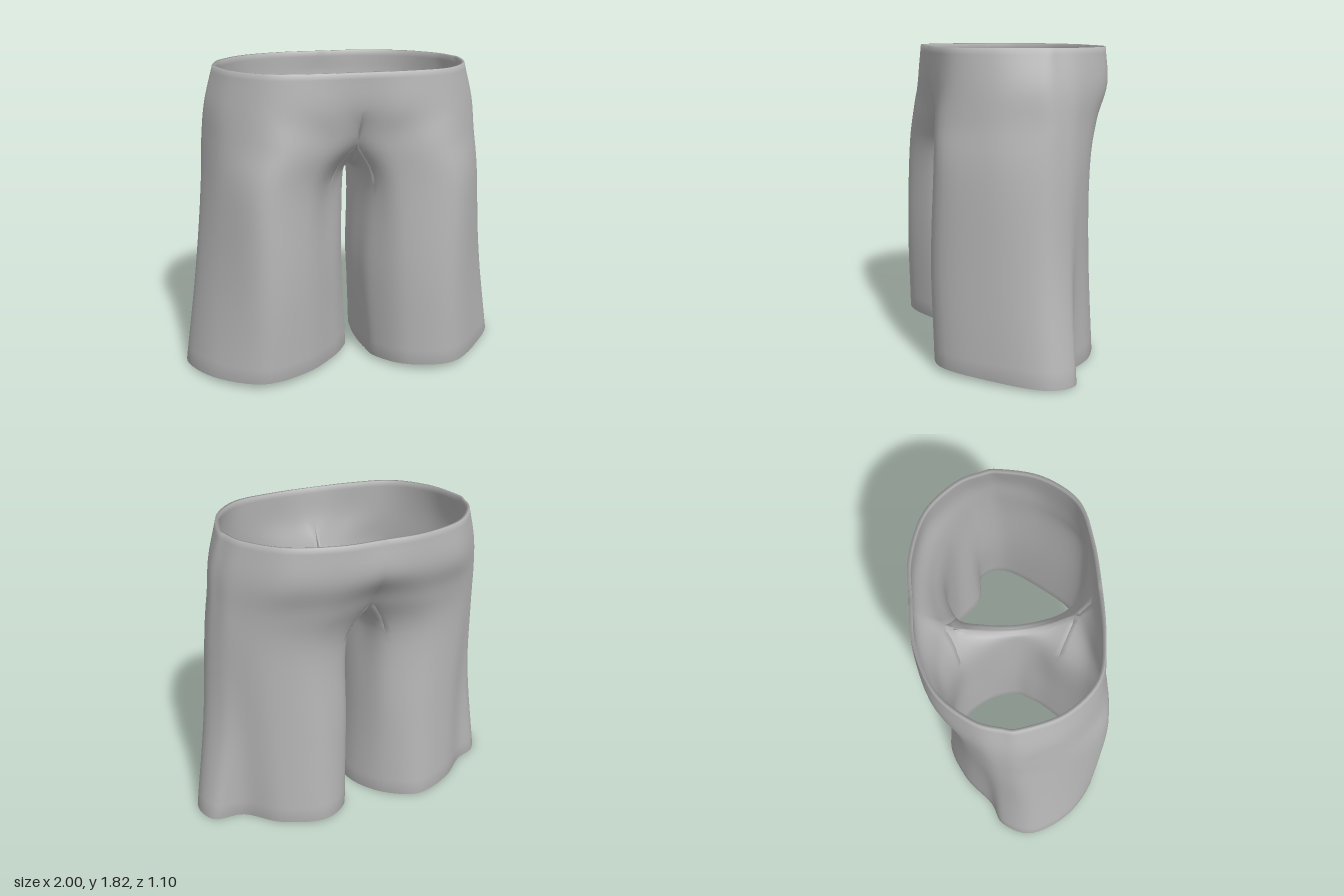
import * as THREE from 'three';
import { mergeVertices } from 'three/addons/utils/BufferGeometryUtils.js';

const SEG = 6;         // subdivisions between control points
const OUT = 9 * SEG;   // columns on the outer sheet (centre front, round the hip, to centre back)
const ALL = 13 * SEG;  // columns all the way round a leg
const CROTCH = 3;      // row where the two legs join
const THICK = 0.018;

// Half cross-sections as [x outwards, z]: centre front, hip, rear fold, centre back, then the inseam (legs only)
const leftLeg = [
  [0.03, [[.14, .33], [.3, .5], [.58, .535], [.85, .27], [1, .03], [.95, -.15], [.76, -.18], [.58, -.35], [.33, -.44], [.15, -.34], [.11, -.17], [.10, .02], [.11, .18]]],
  [0.60, [[.11, .33], [.27, .5], [.55, .55], [.79, .3], [.915, .04], [.86, -.13], [.74, -.21], [.58, -.33], [.34, -.405], [.14, -.32], [.07, -.15], [.035, .03], [.06, .18]]],
  [1.15, [[.12, .35], [.25, .48], [.55, .53], [.77, .3], [.865, .04], [.84, -.11], [.76, -.22], [.6, -.33], [.35, -.385], [.13, -.31], [.07, -.14], [.05, .03], [.07, .2]]],
];
const rightLeg = [
  [0.03, [[.12, .27], [.32, .45], [.6, .54], [.87, .36], [1, .08], [.92, -.12], [.77, -.19], [.58, -.35], [.33, -.44], [.13, -.33], [.01, -.15], [-.02, .03], [.03, .15]]],
  [0.60, [[.13, .28], [.32, .47], [.58, .55], [.81, .33], [.92, .07], [.85, -.11], [.74, -.2], [.58, -.33], [.34, -.405], [.14, -.32], [.04, -.15], [.01, .03], [.045, .15]]],
  [1.15, [[.14, .29], [.3, .46], [.57, .53], [.77, .3], [.855, .04], [.83, -.11], [.75, -.22], [.6, -.33], [.36, -.385], [.13, -.31], [.05, -.14], [.01, .03], [.04, .17]]],
];
const crotchRow = [1.42, [[0, .39], [.2, .475], [.5, .505], [.74, .29], [.835, .02], [.82, -.11], [.76, -.22], [.58, -.37], [.28, -.45], [0, -.39], [0, -.2], [0, .03], [0, .23]]];
const crotchY = [1.29, 1.24, 1.29];
const hipRows = [
  [1.62, [[0, .48], [.25, .5], [.53, .455], [.73, .26], [.81, .03], [.8, -.1], [.74, -.24], [.54, -.44], [.26, -.525], [0, -.535]]],
  [1.83, [[0, .495], [.27, .485], [.52, .43], [.69, .24], [.755, 0], [.745, -.1], [.69, -.25], [.52, -.43], [.25, -.525], [0, -.53]]],
];

const spline = (pts, closed) => new THREE.CatmullRomCurve3(pts, closed, 'catmullrom', 0.5);

// Sample every control row around one half of the body
function sampleRows(leg) {
  const legs = [...leg, crotchRow].map(([y, pts], r) => {
    const ring = spline(pts.map(([x, z], k) => new THREE.Vector3(
      x,
      r === 0 ? 0.012 + 0.045 * Math.abs(z + 0.2) : r === CROTCH && k > 9 ? crotchY[k - 10] : y, // wavy hem, dipping crotch
      z)), true);
    return Array.from({ length: ALL }, (_, j) => ring.getPoint(j / ALL));
  });
  const hips = hipRows.map(([y, pts]) => {
    const half = pts.map(([x, z]) => new THREE.Vector3(x, y, z));
    const mirrored = half.slice(1, -1).reverse().map(p => new THREE.Vector3(-p.x, p.y, p.z));
    const ring = spline([...half, ...mirrored], true);
    return Array.from({ length: OUT + 1 }, (_, j) => ring.getPoint(j / (2 * OUT)));
  });
  return [...legs, ...hips];
}

// One smooth cloth sheet made of both halves
function clothSheet() {
  const pos = [], index = [];
  const addSheet = (rows, side, from, to) => {
    const start = pos.length / 3;
    const n = (rows.length - 1) * SEG;
    for (let j = from; j <= to; j++) {
      const column = spline(rows.map(r => r[j % ALL]), false);
      for (let i = 0; i <= n; i++) {
        const p = column.getPoint(i / n);
        // both halves meet on the centre seam from the crotch upwards
        if (i >= CROTCH * SEG) p.x = j % ALL === 0 || j >= OUT ? 0 : Math.max(0, p.x);
        pos.push(side * p.x, p.y, p.z);
      }
    }
    for (let j = 0; j < to - from; j++) {
      for (let i = 0; i < n; i++) {
        const a = start + j * (n + 1) + i, b = a + n + 1;
        if (side > 0) index.push(a, b, b + 1, a, b + 1, a + 1);
        else index.push(a, b + 1, b, a, a + 1, b + 1);
      }
    }
  };
  for (const [side, leg] of [[1, leftLeg], [-1, rightLeg]]) {
    const rows = sampleRows(leg);
    addSheet(rows, side, 0, OUT);                          // front, hip and back
    addSheet(rows.slice(0, CROTCH + 1), side, OUT, ALL);   // inseam
  }
  const g = new THREE.BufferGeometry();
  g.setAttribute('position', new THREE.Float32BufferAttribute(pos, 3));
  g.setIndex(index);
  const merged = mergeVertices(g, 1e-4);
  merged.computeVertexNormals();
  return merged;
}

// Give the sheet a lining and close the open edges at the waist and hems
function thicken(sheet) {
  const p = sheet.attributes.position, nor = sheet.attributes.normal;
  const idx = Array.from(sheet.index.array), count = p.count;
  const pos = Array.from(p.array);
  for (let i = 0; i < count; i++) {
    pos.push(p.getX(i) - THICK * nor.getX(i), p.getY(i) - THICK * nor.getY(i), p.getZ(i) - THICK * nor.getZ(i));
  }
  const out = [...idx], edges = new Set();
  for (let t = 0; t < idx.length; t += 3) {
    out.push(idx[t] + count, idx[t + 2] + count, idx[t + 1] + count);
    for (let k = 0; k < 3; k++) edges.add(idx[t + k] + '_' + idx[t + (k + 1) % 3]);
  }
  for (const e of edges) {
    const [a, b] = e.split('_').map(Number);
    if (!edges.has(b + '_' + a)) out.push(b, a, a + count, b, a + count, b + count);
  }
  const g = new THREE.BufferGeometry();
  g.setAttribute('position', new THREE.Float32BufferAttribute(pos, 3));
  g.setIndex(out);
  g.computeVertexNormals();
  return g;
}

export function createModel() {
  const cloth = new THREE.MeshStandardMaterial({ color: 0xb6b6b6 });
  cloth.name = 'greyCloth';
  const shorts = new THREE.Mesh(thicken(clothSheet()), cloth);
  shorts.name = 'shorts';
  const group = new THREE.Group();
  group.name = 'pairOfShorts';
  group.add(shorts);
  return group;
}
